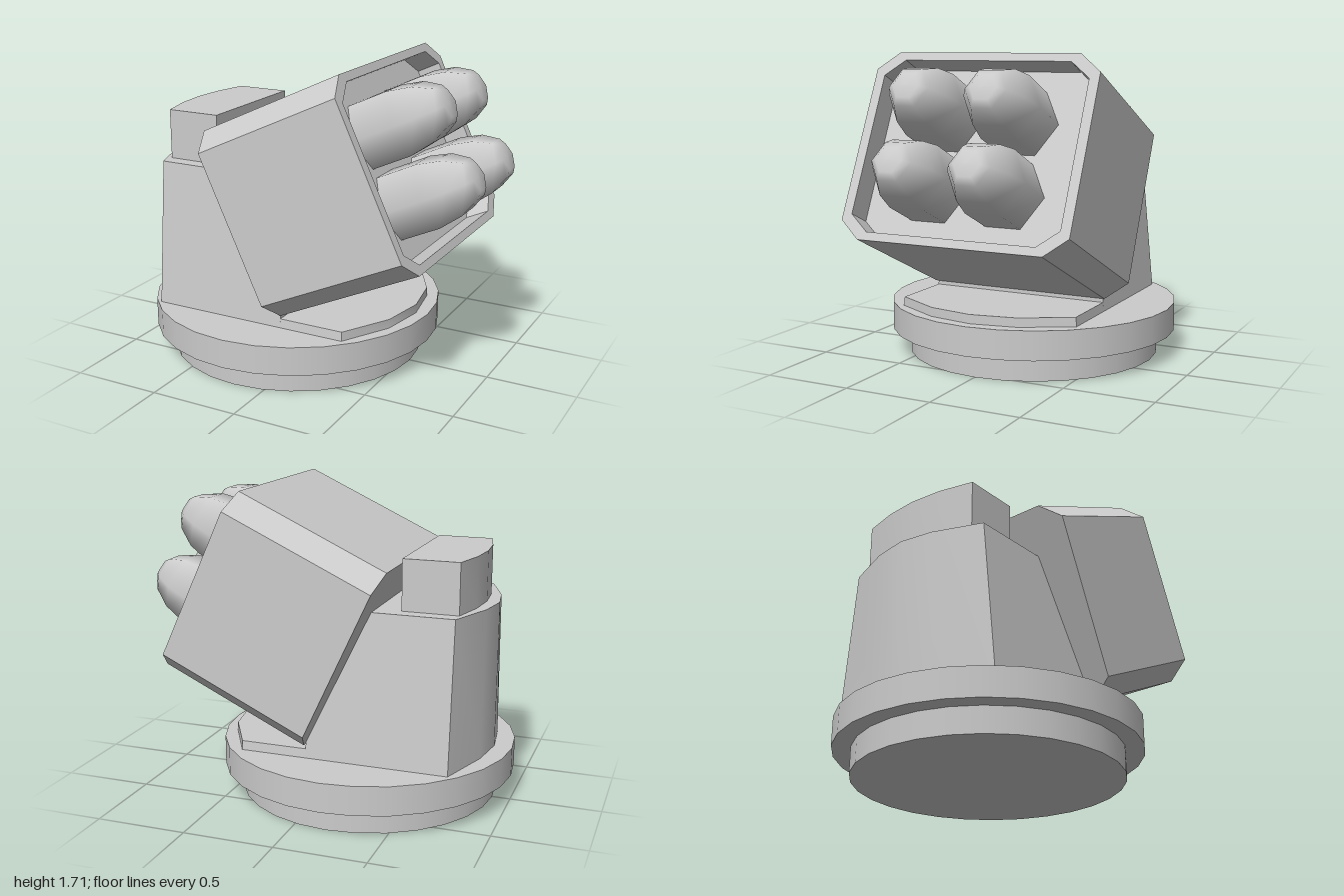
import * as THREE from 'three';
import { toCreasedNormals } from 'three/addons/utils/BufferGeometryUtils.js';

const grey = new THREE.MeshStandardMaterial({ color: 0xcccccc });

function add(parent, name, geometry, x = 0, y = 0, z = 0) {
  const mesh = new THREE.Mesh(geometry, grey);
  mesh.name = name;
  mesh.position.set(x, y, z);
  parent.add(mesh);
  return mesh;
}

// Upright slab from half an outline of [x, z] points mirrored in z;
// taper scales z at the top.
function slab(half, y0, y1, taper = 1) {
  const mirrored = half.filter(p => p[1] > 0).reverse().map(([x, z]) => [x, -z]);
  const shape = new THREE.Shape([...half, ...mirrored].map(([x, z]) => new THREE.Vector2(x, z)));
  const h = y1 - y0;
  const g = new THREE.ExtrudeGeometry(shape, { depth: h, bevelEnabled: false });
  g.rotateX(-Math.PI / 2);
  const p = g.attributes.position;
  for (let i = 0; i < p.count; i++) {
    p.setZ(i, p.getZ(i) * (1 + (taper - 1) * p.getY(i) / h));
  }
  g.translate(0, y0, 0);
  return toCreasedNormals(g, 0.45);
}

// Corner points of a rectangle with cut corners
function octagon(w, h, cw, ch) {
  return [[w, -h + ch], [w, h - ch], [w - cw, h], [-w + cw, h],
    [-w, h - ch], [-w, -h + ch], [-w + cw, -h], [w - cw, -h]]
    .map(([x, y]) => new THREE.Vector2(x, y));
}

// Extrude a cross-section along +x
function alongX(shape, x0, x1) {
  return new THREE.ExtrudeGeometry(shape, { depth: x1 - x0, bevelEnabled: false })
    .rotateY(Math.PI / 2).translate(x0, 0, 0);
}

export function createModel() {
  const model = new THREE.Group();
  model.name = 'rocketTurret';

  // Round base
  add(model, 'baseFoot', new THREE.CylinderGeometry(0.72, 0.72, 0.14, 28), -0.18, 0.07, 0);
  add(model, 'baseRing', new THREE.CylinderGeometry(0.82, 0.82, 0.16, 28), -0.18, 0.22, 0);

  // Tapered rear housing with a curved back, its cap, and the front deck
  add(model, 'housing', slab([[-0.9, 0], [-0.87, 0.22], [-0.77, 0.53], [0.01, 0.53]], 0.3, 1.11, 0.85), 0, 0, 0.01);
  add(model, 'housingCap', slab([[-0.83, 0], [-0.815, 0.18], [-0.77, 0.37], [-0.465, 0.37]], 1.11, 1.385), 0, 0, 0.01);
  add(model, 'deck', slab([[0, 0.53], [0.38, 0.53], [0.53, 0.26], [0.575, 0]], 0.3, 0.35, 0.99), 0, 0, 0.01);

  // Launcher box, tilted upward, open at its muzzle end
  const launcher = new THREE.Group();
  launcher.name = 'launcher';
  launcher.position.set(0.19, 1.042, 0.01);
  launcher.rotation.z = THREE.MathUtils.degToRad(25);
  model.add(launcher);

  const outer = octagon(0.66, 0.533, 0.125, 0.1);
  add(launcher, 'launcherBox', alongX(new THREE.Shape(outer), -0.44, 0.3));
  const rim = new THREE.Shape(outer);
  rim.holes.push(new THREE.Path(octagon(0.605, 0.487, 0.115, 0.09).reverse()));
  add(launcher, 'launcherRim', alongX(rim, 0.3, 0.44));

  // Four six-sided rockets with blunt noses
  const profile = [[0.2, 0.3], [0.2, 0.53], [0.172, 0.66], [0.115, 0.757], [0.075, 0.787], [0, 0.79]]
    .map(([r, y]) => new THREE.Vector2(r, y));
  const rocket = new THREE.LatheGeometry(profile, 6).rotateZ(-Math.PI / 2);
  for (const y of [-0.197, 0.197]) {
    for (const z of [-0.22, 0.22]) add(launcher, 'rocket', rocket, 0, y, z);
  }

  return model;
}
